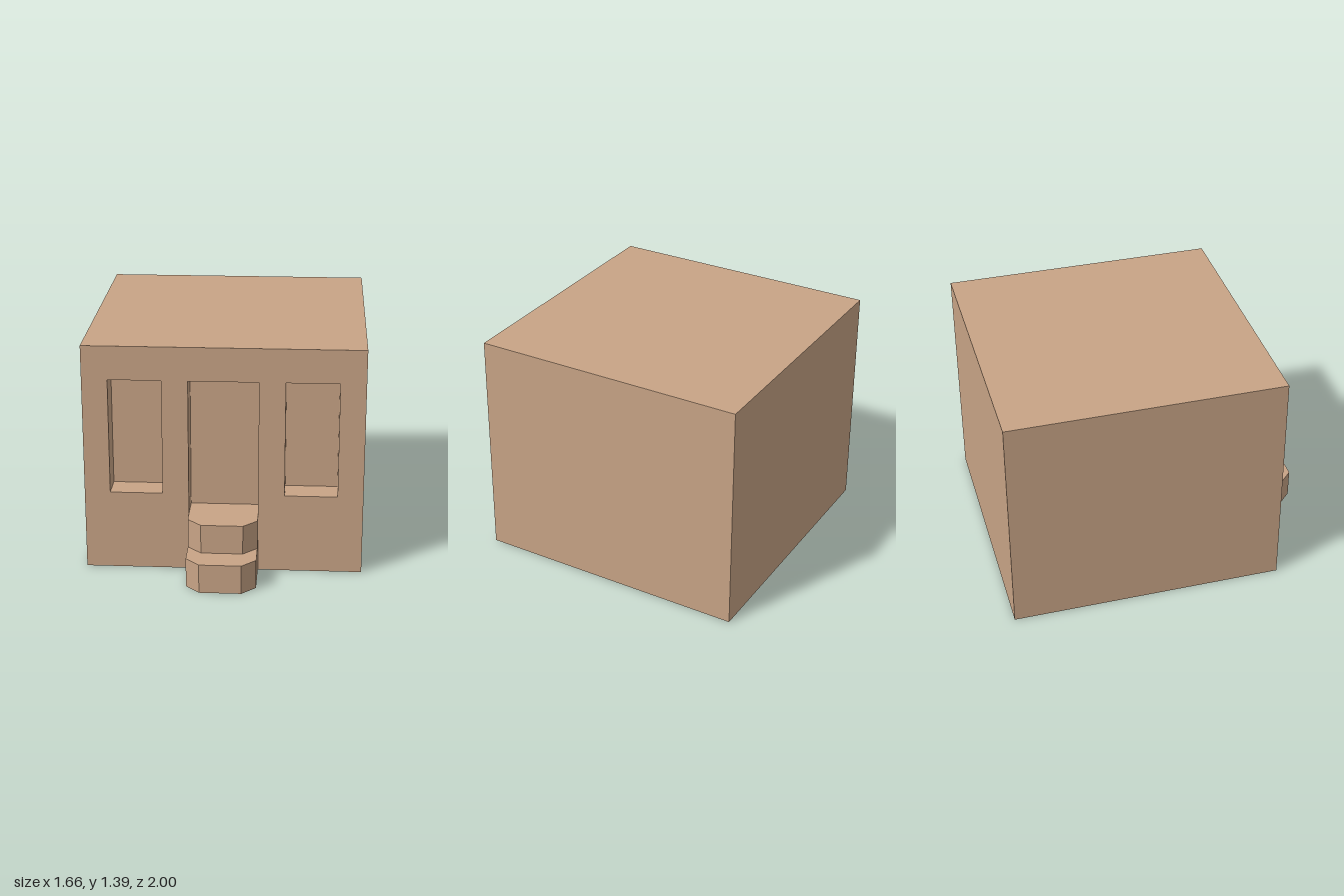
import * as THREE from 'three';

const W = 1.66, H = 1.395, BACK = -1, FRONT = 0.665, RECESS = 0.166;
const STEP_W = 0.207, STEP_H = 0.178, CHAMFER = 0.083;

// Box without its +z side; inward = true turns the faces to the inside
function openBox(x0, x1, y0, y1, z0, z1, inward) {
  const box = new THREE.BoxGeometry(x1 - x0, y1 - y0, z1 - z0);
  const index = Array.from(box.index.array);
  index.splice(24, 6);
  if (inward) index.reverse();
  box.setIndex(index);
  const geometry = box.toNonIndexed();
  geometry.computeVertexNormals();
  return geometry.translate((x0 + x1) / 2, (y0 + y1) / 2, (z0 + z1) / 2);
}

function rectangle(target, x0, x1, y0, y1) {
  target.moveTo(x0, y0);
  target.lineTo(x1, y0);
  target.lineTo(x1, y1);
  target.lineTo(x0, y1);
  target.closePath();
  return target;
}

// Slab with two chamfered front corners, running from zBack to zFront
function stepGeometry(zBack, zFront, y) {
  const shape = new THREE.Shape([
    [-STEP_W, zBack], [-STEP_W, zFront - CHAMFER], [-STEP_W + CHAMFER, zFront],
    [STEP_W - CHAMFER, zFront], [STEP_W, zFront - CHAMFER], [STEP_W, zBack],
  ].map(([x, z]) => new THREE.Vector2(x, -z)));
  return new THREE.ExtrudeGeometry(shape, { depth: STEP_H, bevelEnabled: false })
    .rotateX(-Math.PI / 2).translate(0, y, 0);
}

export function createModel() {
  const model = new THREE.Group();
  model.name = 'house';
  const clay = new THREE.MeshStandardMaterial({ color: 0xc8a486 });
  const add = (name, geometry) => {
    const mesh = new THREE.Mesh(geometry, clay);
    mesh.name = name;
    model.add(mesh);
  };

  // Side walls, back wall, roof and floor
  add('walls', openBox(-W / 2, W / 2, 0, H, BACK, FRONT, false));

  // Front wall with its door and window openings
  const openings = [
    ['doorRecess', -STEP_W, STEP_W, 2 * STEP_H, 1.19],
    ['leftWindowRecess', 0.363, 0.677, 0.485, 1.19],
    ['rightWindowRecess', -0.677, -0.363, 0.485, 1.19],
  ];
  const facade = rectangle(new THREE.Shape(), -W / 2, W / 2, 0, H);
  for (const [name, ...rect] of openings) {
    facade.holes.push(rectangle(new THREE.Path(), ...rect));
    add(name, openBox(...rect, FRONT - RECESS, FRONT, true));
  }
  add('frontWall', new THREE.ShapeGeometry(facade).translate(0, 0, FRONT));

  // Two steps up to the door
  add('lowerStep', stepGeometry(FRONT, 1, 0));
  add('upperStep', stepGeometry(FRONT, 0.833, STEP_H));

  return model;
}
